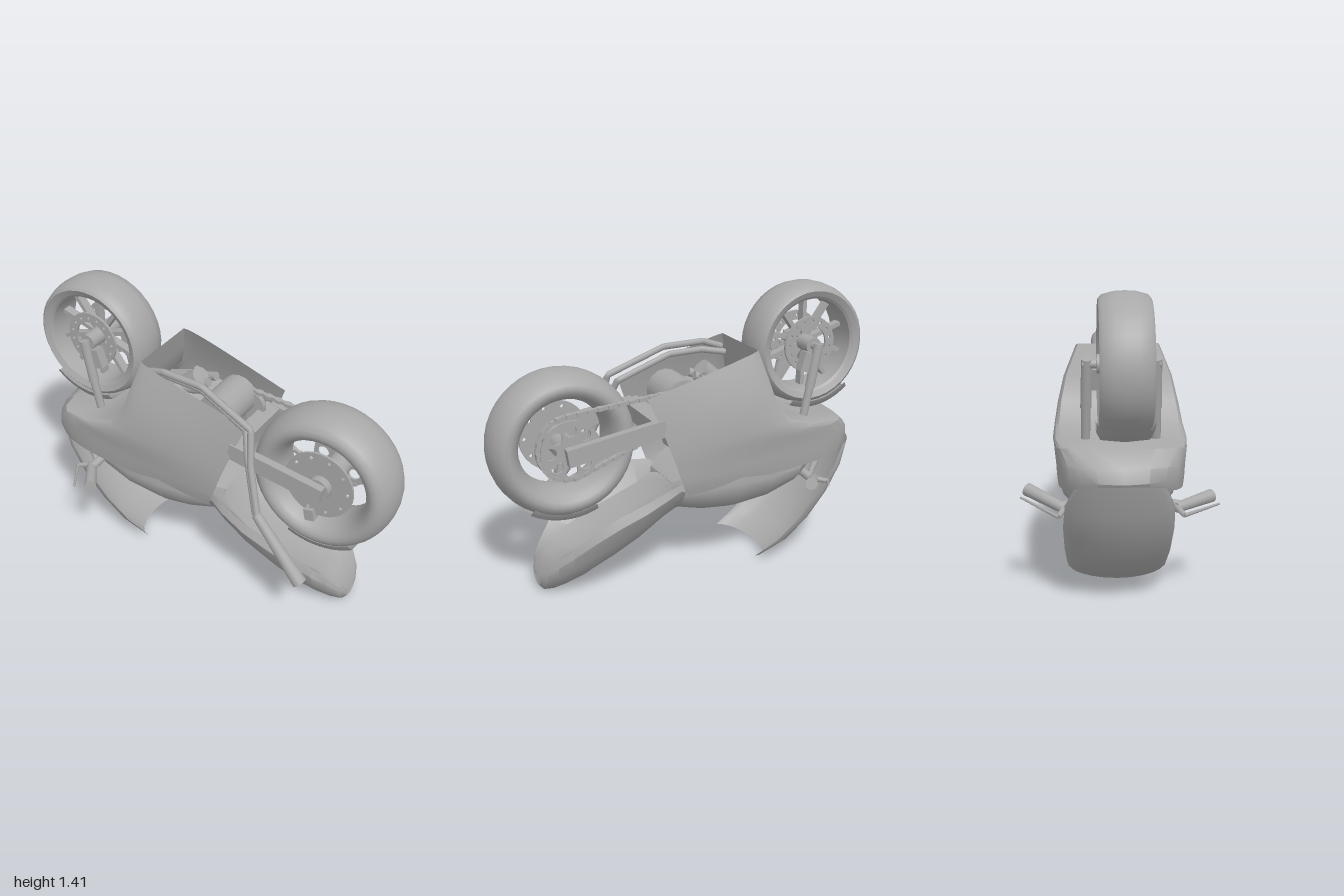
import * as THREE from 'three';
import { toCreasedNormals } from 'three/addons/utils/BufferGeometryUtils.js';

const grey = new THREE.MeshStandardMaterial({ color: 0xa8a8a8, side: THREE.DoubleSide });
grey.name = 'plain grey';
const V = (x, y, z) => new THREE.Vector3(x, y, z);
const MID = 0.01; // z of the bike's centre plane

export function createModel() {
  const root = new THREE.Group();
  const add = (name, geo, pos = [0, 0, 0], parent = root) => {
    const m = new THREE.Mesh(geo, grey);
    m.name = name;
    m.position.set(...pos);
    parent.add(m);
    return m;
  };
  const box = (name, size, pos, rot = 0, parent = root) => {
    const m = add(name, new THREE.BoxGeometry(...size), pos, parent);
    m.rotation.z = rot;
    return m;
  };
  // cylinder between two points
  const rod = (name, a, b, r, r2 = r, sides = 12, parent = root) => {
    const d = b.clone().sub(a);
    const m = add(name, new THREE.CylinderGeometry(r2, r, d.length(), sides), a.clone().add(b).multiplyScalar(0.5).toArray(), parent);
    m.quaternion.setFromUnitVectors(V(0, 1, 0), d.normalize());
    return m;
  };
  // skin over rows of points
  const loft = (name, rows, crease = 0.6) => {
    const n = rows[0].length, idx = [];
    for (let i = 0; i < rows.length - 1; i++)
      for (let j = 0; j < n - 1; j++) {
        const a = i * n + j, b = a + n;
        idx.push(a, b, a + 1, b, b + 1, a + 1);
      }
    const g = new THREE.BufferGeometry().setFromPoints(rows.flat());
    g.setIndex(idx);
    return add(name, toCreasedNormals(g, crease));
  };
  // lathe turned so that its axis runs along z
  const ring = (name, pts, parent, seg = 36) => {
    const g = new THREE.LatheGeometry(pts.map(p => new THREE.Vector2(...p)), seg);
    return add(name, toCreasedNormals(g.rotateX(Math.PI / 2), 0.7), [0, 0, 0], parent);
  };
  // flat disc with a circle of holes
  const disc = (name, r, inner, holes, hr, hd, z, parent) => {
    const s = new THREE.Shape().absarc(0, 0, r, 0, Math.PI * 2);
    const hole = (x, y, q) => s.holes.push(new THREE.Path().absarc(x, y, q, 0, Math.PI * 2, true));
    if (inner) hole(0, 0, inner);
    for (let i = 0; i < holes; i++) {
      const a = i / holes * Math.PI * 2;
      hole(Math.cos(a) * hd, Math.sin(a) * hd, hr);
    }
    return add(name, new THREE.ExtrudeGeometry(s, { depth: 0.012, bevelEnabled: false, curveSegments: 16 }), [0, 0, z], parent);
  };

  // front wheel
  const front = new THREE.Group();
  front.name = 'frontWheel';
  front.position.set(-0.69, 1.1, 0.022);
  root.add(front);
  ring('frontTyre', [[0.25, -0.1], [0.28, -0.115], [0.298, -0.1], [0.312, -0.05], [0.315, 0], [0.312, 0.05], [0.298, 0.1], [0.28, 0.115], [0.25, 0.1]], front);
  ring('frontRim', [[0.25, -0.1], [0.238, -0.09], [0.232, -0.03], [0.232, 0.03], [0.238, 0.09], [0.25, 0.1]], front);
  rod('frontHub', V(0, 0, -0.12), V(0, 0, 0.12), 0.042, 0.042, 16, front);
  for (let i = 0; i < 10; i++) {
    const a = (i + 0.5) / 10 * Math.PI * 2;
    box('frontSpoke', [0.2, 0.022, 0.045], [Math.cos(a) * 0.135, Math.sin(a) * 0.135, 0], a, front);
  }
  for (const s of [-1, 1]) disc('frontBrakeDisc', 0.145, 0.095, 15, 0.008, 0.12, s * 0.075 - 0.006, front);

  // rear wheel
  const rear = new THREE.Group();
  rear.name = 'rearWheel';
  rear.position.set(0.633, 0.75, 0.045);
  root.add(rear);
  const tyre = [];
  for (let i = 0; i <= 20; i++) {
    const a = i / 20 * Math.PI * 2;
    tyre.push([0.293 + 0.072 * Math.cos(a), 0.14 * Math.sin(a)]);
  }
  ring('rearTyre', tyre, rear, 40);
  rod('rearHub', V(0.01, 0, -0.15), V(0.01, 0, 0.14), 0.06, 0.06, 16, rear);
  disc('rearBrakeDisc', 0.178, 0, 10, 0.009, 0.15, 0.09, rear);
  disc('rearSprocket', 0.15, 0, 8, 0.03, 0.1, -0.155, rear);
  box('rearCaliper', [0.05, 0.06, 0.05], [-0.03, -0.18, 0.1], 0.2, rear);

  // drive chain around two sprockets
  const A = V(0.64, 0.765, 0), B = V(0.12, 0.88, 0), R = 0.158, r = 0.085;
  const dir = Math.atan2(B.y - A.y, B.x - A.x), off = Math.acos((R - r) / A.distanceTo(B));
  const loop = [];
  const arc = (c, q, a0, a1) => {
    for (let i = 0; i <= 12; i++) {
      const a = a0 + (a1 - a0) * i / 12;
      loop.push(V(c.x + q * Math.cos(a), c.y + q * Math.sin(a), 0));
    }
  };
  arc(A, R, dir + off, dir + Math.PI * 2 - off);
  arc(B, r, dir - off, dir + off);
  const chain = new THREE.CurvePath();
  loop.forEach((p, i) => chain.add(new THREE.LineCurve3(p, loop[(i + 1) % loop.length])));
  const links = new THREE.Group();
  links.name = 'chain';
  root.add(links);
  for (let i = 0; i < 70; i++) {
    const p = chain.getPointAt(i / 70), t = chain.getTangentAt(i / 70);
    box('chainLink', [0.026, 0.018, i % 2 ? 0.03 : 0.018], [p.x, p.y, -0.104], Math.atan2(t.y, t.x), links);
  }
  rod('frontSprocket', V(B.x, B.y, -0.115), V(B.x, B.y, -0.09), 0.08, 0.08, 18);

  // mudguards hugging the tyres
  const guard = (name, c, q, w, a0, a1) => {
    const rows = [];
    for (let i = 0; i <= 10; i++) {
      const a = a0 + (a1 - a0) * i / 10;
      rows.push([[-1, -0.045], [-0.85, -0.01], [0, 0], [0.85, -0.01], [1, -0.045]].map(([z, d]) =>
        V(c.x + (q + d) * Math.cos(a), c.y + (q + d) * Math.sin(a), c.z + z * w)));
    }
    loft(name, rows, 1);
  };
  guard('frontMudguard', front.position, 0.338, 0.125, 3.98, 5.1);
  guard('rearHugger', rear.position, 0.378, 0.12, 4.3, 5.28);

  // side fairing: each row runs from one side, round the nose, to the other
  const hull = [ // left x, y, half width, then right x, y, half width, then nose and side bulge
    [-0.32, 1.14, 0.185, 0.27, 0.97, 0.185, 0, 0.015], [-0.355, 1.0, 0.24, 0.225, 0.86, 0.21, 0, 0.02],
    [-0.39, 0.88, 0.265, 0.19, 0.76, 0.225, 0, 0.025], [-0.47, 0.79, 0.275, 0.165, 0.69, 0.235, 0, 0.03],
    [-0.62, 0.755, 0.27, 0.145, 0.63, 0.24, 0, 0.04], [-0.78, 0.748, 0.235, 0.125, 0.57, 0.24, 0.03, 0.06],
    [-0.85, 0.68, 0.19, 0.11, 0.53, 0.24, 0.05, 0.085], [-0.86, 0.62, 0.18, 0.1, 0.5, 0.235, 0.06, 0.09],
    [-0.83, 0.57, 0.19, 0.08, 0.46, 0.225, 0.06, 0.08]];
  loft('fairing', hull.map(([x0, y0, z0, x1, y1, z1, nose, bulge]) => {
    const side = [];
    for (let i = 0; i <= 10; i++) {
      const u = (i / 10) ** 1.5;
      side.push(V(x0 + (x1 - x0) * u, y0 + (y1 - y0) * u, z0 + (z1 - z0) * u + bulge * Math.sin(Math.PI * Math.sqrt(u))));
    }
    const at = (p, s) => V(p.x, p.y, MID + s * p.z);
    const tip = [0.6, 0, -0.6].map(k => V(x0 - nose * (1 - k * k), y0, MID + k * z0));
    return [...side.slice().reverse().map(p => at(p, 1)), ...tip, ...side.map(p => at(p, -1))];
  }), 0.7);

  // closed body from stations along x: x, top, bottom, half width, height of the middle of the top
  const body = (name, cz, stations, section) => {
    const rows = stations.map(([x, top, bot, w, mid]) => {
      const half = [...section, [0.6, 0.2 + 0.8 * mid], [0, mid]];
      return [...half, ...half.slice(0, -1).reverse().map(([z, h]) => [-z, h])]
        .map(([z, h]) => V(x, bot + (top - bot) * h, cz + z * w));
    });
    for (const end of [0, rows.length - 1]) { // cap both ends
      const c = rows[end].reduce((s, p) => s.add(p), V(0, 0, 0)).divideScalar(rows[end].length);
      rows[end ? 'push' : 'unshift'](rows[end].map(() => c.clone()));
    }
    loft(name, rows, 0.65);
  };
  body('tank', MID, [[-0.66, 0.56, 0.46, 0.17, 1], [-0.56, 0.58, 0.38, 0.235, 1], [-0.38, 0.6, 0.325, 0.275, 1], [-0.2, 0.6, 0.298, 0.268, 1],
    [-0.06, 0.58, 0.308, 0.24, 1], [0.06, 0.54, 0.335, 0.195, 1], [0.12, 0.5, 0.37, 0.14, 1]],
  [[0, 0], [0.4, 0.03], [0.74, 0.18], [0.94, 0.4], [1, 0.62], [0.9, 1]]);
  body('seatAndTail', 0.018, [[-0.04, 0.42, 0.33, 0.14, 1], [0.1, 0.51, 0.315, 0.21, 0.8], [0.18, 0.505, 0.29, 0.255, 0.45], [0.32, 0.47, 0.2, 0.285, 0.42],
    [0.45, 0.43, 0.125, 0.285, 0.45], [0.57, 0.355, 0.06, 0.25, 0.55], [0.66, 0.27, 0.025, 0.2, 0.75], [0.725, 0.2, 0.006, 0.15, 0.95], [0.77, 0.14, 0.008, 0.11, 1], [0.79, 0.09, 0.03, 0.06, 1]],
  [[0, 0], [0.32, 0.05], [0.64, 0.25], [0.88, 0.55], [1, 0.84], [0.93, 1]]);

  // windscreen: centre line x, y, then edge x, y, half width
  const screen = [[-0.915, 0.61, -0.83, 0.58, 0.2], [-0.865, 0.46, -0.76, 0.49, 0.24], [-0.79, 0.32, -0.665, 0.36, 0.25],
    [-0.685, 0.185, -0.55, 0.225, 0.245], [-0.56, 0.08, -0.43, 0.12, 0.235], [-0.42, 0.033, -0.31, 0.05, 0.215]];
  loft('windscreen', screen.map(([cx, cy, ex, ey, w]) => {
    const row = [];
    for (let i = -6; i <= 6; i++) {
      const a = i / 6 * Math.PI / 2, k = 1 - Math.cos(a);
      row.push(V(cx + (ex - cx) * k, cy + (ey - cy) * k, w * Math.sin(a)));
    }
    return row;
  }), 1);

  // paired fork, swing arm and handlebars
  for (const s of [-1, 1]) {
    const P = (x, y, z) => V(x, y, MID + s * z);
    const lift = -0.02 * s; // the bars are tipped slightly to one side
    rod('forkLower', P(-0.692, 1.12, 0.15), P(-0.645, 0.9, 0.155), 0.025, 0.025);
    rod('forkUpper', P(-0.645, 0.9, 0.155), P(-0.55, 0.47, 0.16), 0.021, 0.021);
    box('brakeCaliper', [0.05, 0.1, 0.05], P(-0.63, 1.03, 0.125).toArray(), 0.3);
    box('swingArm', [0.5, 0.085, 0.04], P(0.435, 0.788, 0.2).toArray(), -0.15);
    rod('clipOn', P(-0.6, 0.46, 0.16), P(-0.61, 0.44, 0.28), 0.022, 0.022);
    rod('grip', P(-0.63, 0.435, 0.25), P(-0.505, 0.475 + lift, 0.425), 0.024, 0.031);
    rod('lever', P(-0.7, 0.42, 0.28), P(-0.59, 0.46 + lift, 0.45), 0.009, 0.005, 6);
    rod('leverMount', P(-0.62, 0.44, 0.25), P(-0.7, 0.42, 0.28), 0.016, 0.012, 8);
    rod('mirrorBracket', P(-0.72, 0.57, 0.17), P(-0.64, 0.44, 0.2), 0.02, 0.016, 8);
  }
  rod('frontAxle', V(-0.69, 1.1, MID - 0.17), V(-0.69, 1.1, MID + 0.17), 0.02);
  rod('rearAxle', V(0.645, 0.755, MID - 0.21), V(0.645, 0.755, MID + 0.21), 0.02);
  box('forkYoke', [0.1, 0.04, 0.36], [-0.58, 0.6, MID], 0.2);
  box('swingArmBridge', [0.08, 0.09, 0.38], [0.2, 0.82, MID], -0.15);

  // engine
  box('engineBlock', [0.34, 0.3, 0.26], [-0.08, 0.8, MID], -0.25);
  box('cylinderHead', [0.15, 0.22, 0.24], [-0.25, 0.84, MID], 0.3);
  rod('crankcase', V(0.05, 0.92, MID - 0.12), V(0.05, 0.92, MID + 0.1), 0.1, 0.1, 16);
  rod('oilFilter', V(-0.18, 0.96, MID), V(-0.1, 1.03, MID), 0.05, 0.05, 14);
  for (const z of [-0.09, -0.02, 0.05]) rod('headerPipe', V(-0.3, 0.92, z), V(-0.06, 1.0, z + 0.02), 0.022);

  // exhaust pipes and muffler
  const pipe = (name, pts) => {
    const path = new THREE.CurvePath();
    pts.slice(1).forEach((p, i) => path.add(new THREE.LineCurve3(V(...pts[i]), V(...p))));
    add(name, new THREE.TubeGeometry(path, 60, 0.017, 8));
  };
  pipe('exhaustUpper', [[-0.3, 1.08, 0.17], [-0.2, 1.115, 0.185], [0.02, 1.11, 0.19], [0.31, 0.99, 0.225], [0.34, 0.83, 0.275], [0.42, 0.6, 0.34]]);
  pipe('exhaustLower', [[-0.3, 1.06, 0.13], [-0.18, 1.08, 0.16], [0.0, 1.075, 0.165], [0.27, 0.96, 0.2], [0.31, 0.84, 0.25], [0.4, 0.6, 0.325]]);
  rod('muffler', V(0.41, 0.61, 0.335), V(0.665, 0.31, 0.35), 0.024, 0.036, 14);

  return root;
}
